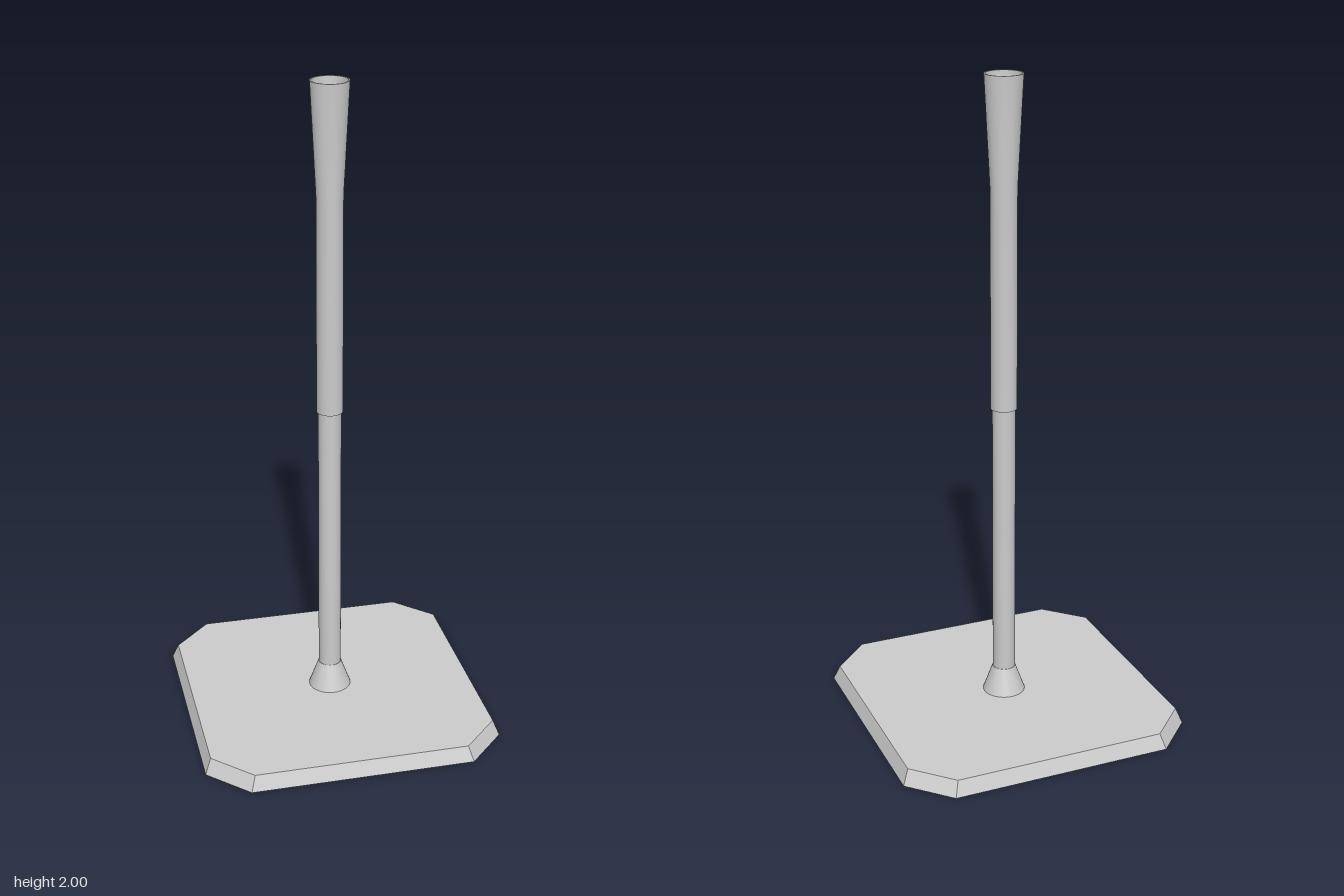
import * as THREE from 'three';
import { toCreasedNormals } from 'three/addons/utils/BufferGeometryUtils.js';

const material = new THREE.MeshStandardMaterial({ color: 0xcccccc });

function addPart(group, name, geometry) {
  const mesh = new THREE.Mesh(geometry, material);
  mesh.name = name;
  group.add(mesh);
}

// Turned part with [radius, height] profile, crisp at its rings
function turned(profile) {
  const points = profile.map(([r, y]) => new THREE.Vector2(r, y));
  return toCreasedNormals(new THREE.LatheGeometry(points, 32), 0.25);
}

// Square plate with cut corners, its sides tapering in towards the top
function plate(half, corner, height, topScale) {
  const outline = [
    [half, -corner], [half, corner], [corner, half], [-corner, half],
    [-half, corner], [-half, -corner], [-corner, -half], [corner, -half],
  ].map(([x, y]) => new THREE.Vector2(x, y));
  const geometry = new THREE.ExtrudeGeometry(new THREE.Shape(outline), { depth: height, bevelEnabled: false });
  geometry.rotateX(-Math.PI / 2);
  const pos = geometry.attributes.position;
  for (let i = 0; i < pos.count; i++) {
    if (pos.getY(i) > height / 2) {
      pos.setX(i, pos.getX(i) * topScale);
      pos.setZ(i, pos.getZ(i) * topScale);
    }
  }
  geometry.computeVertexNormals();
  return geometry;
}

export function createModel() {
  const group = new THREE.Group();
  const plateTop = 0.047;

  addPart(group, 'basePlate', plate(0.462, 0.343, plateTop, 0.96));

  // Conical collar where the pole meets the plate
  addPart(group, 'collar', turned([[0.066, plateTop], [0.036, 0.13], [0.034, 0.13]]));

  // Lower pole, running up inside the sleeve
  addPart(group, 'lowerPole', turned([[0.035, plateTop], [0.035, 1.02]]));

  // Upper sleeve with a flared, hollow cup at the top
  addPart(group, 'sleeve', turned([
    [0.034, 1.0], [0.04, 1.0], [0.04, 1.67], [0.057, 2.0],
    [0.053, 2.0], [0.037, 1.67], [0, 1.67],
  ]));

  return group;
}
